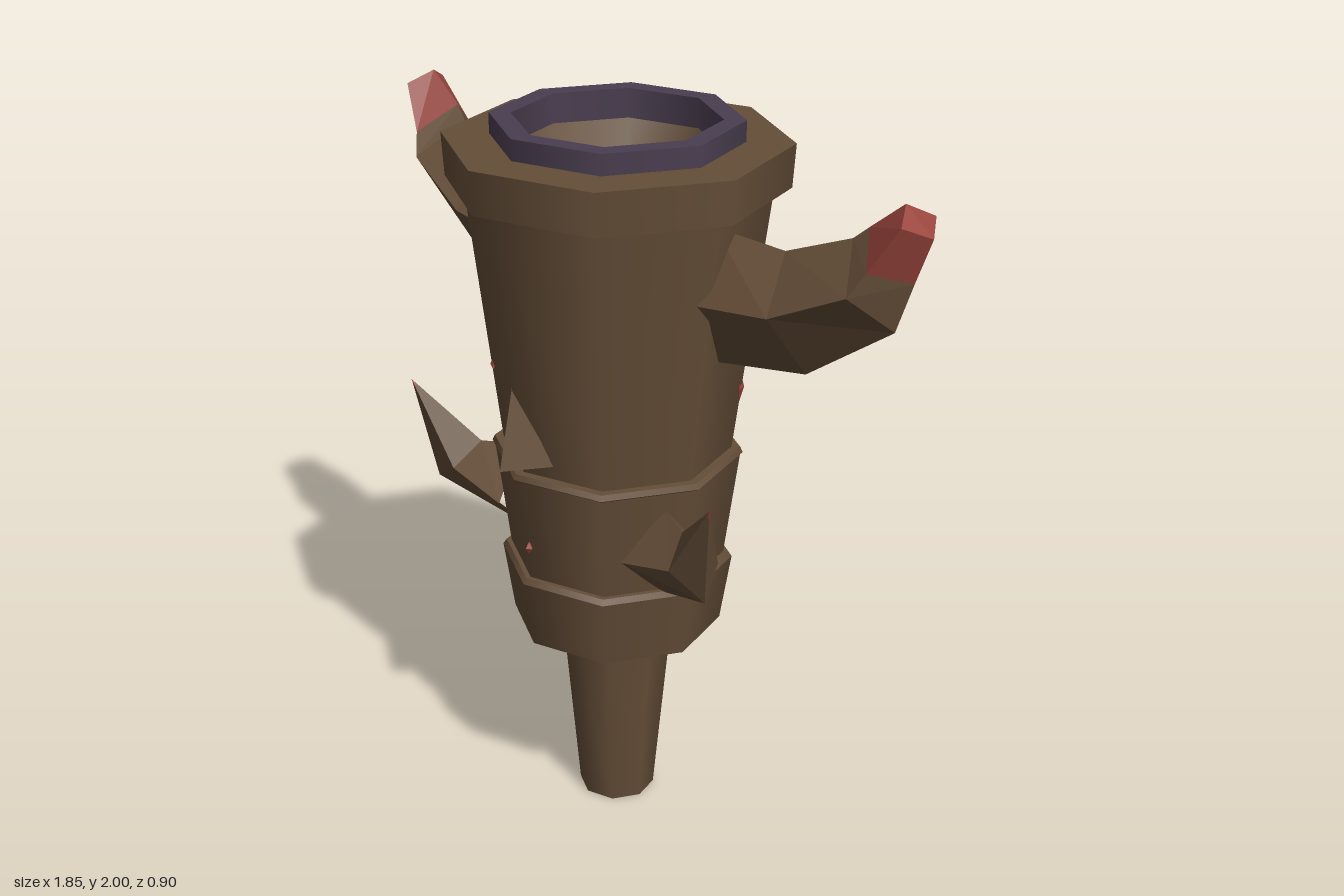
import * as THREE from 'three';
import { mergeGeometries } from 'three/addons/utils/BufferGeometryUtils.js';

const SIDES = 8;
const TURN = -0.11; // slight twist of the octagon about the axis

const material = (name, color) => {
  const m = new THREE.MeshStandardMaterial({ color });
  m.name = name;
  return m;
};

// Revolves a profile of [radius, y] points, with a sharp edge at each point
function turned(profile) {
  const bands = [];
  for (let i = 0; i < profile.length - 1; i++) {
    const pts = [profile[i], profile[i + 1]].map(([r, y]) => new THREE.Vector2(r, y));
    bands.push(new THREE.LatheGeometry(pts, SIDES, TURN));
  }
  return mergeGeometries(bands);
}

// Flat-faced skin over four-cornered sections (top, front, bottom, back)
function loft(sections, side = 1) {
  const rings = sections.map((s) => {
    const ring = s.map(([x, y, z]) => [x * side, y, z]);
    return side < 0 ? ring.reverse() : ring;
  });
  const pos = [];
  const quad = (a, b, c, d) => pos.push(...a, ...b, ...c, ...a, ...c, ...d);
  for (let k = 0; k < rings.length - 1; k++) {
    for (let i = 0; i < 4; i++) {
      const j = (i + 1) % 4;
      quad(rings[k][i], rings[k][j], rings[k + 1][j], rings[k + 1][i]);
    }
  }
  quad(...rings[rings.length - 1]);
  const g = new THREE.BufferGeometry();
  g.setAttribute('position', new THREE.Float32BufferAttribute(pos, 3));
  g.computeVertexNormals();
  return g;
}

// Diamond section from top, side and bottom corners in the x-y plane
const diamond = (top, mid, bottom, z, half) => [
  [...top, z], [...mid, z + half], [...bottom, z], [...mid, z - half],
];

export function createModel() {
  const wood = material('brown wood', 0x654e38);
  const red = material('dull red', 0x98443d);
  const purple = material('dark purple', 0x4a3e50);
  const model = new THREE.Group();
  const add = (name, geometry, mat, parent = model) => {
    const mesh = new THREE.Mesh(geometry, mat);
    mesh.name = name;
    parent.add(mesh);
    return mesh;
  };

  // Peg and stacked trunk
  add('peg', turned([[0, 0], [0.107, 0], [0.16, 0.6]]), wood);
  add('lowerCollar', turned([[0, 0.57], [0.29, 0.57], [0.32, 0.765], [0.31, 0.78], [0.28, 0.78]]), wood);
  add('middleCollar', turned([[0.295, 0.77], [0.335, 1.08], [0.342, 1.085], [0.335, 1.1], [0.29, 1.1]]), wood);
  add('trunk', turned([[0.31, 1.09], [0.403, 1.84]]), wood);
  add('topCollar', turned([[0.38, 1.83], [0.446, 1.83], [0.453, 1.945], [0.3, 1.945]]), wood);

  // Mouth ring, hollow and its small floor
  add('mouthRing', turned([[0.327, 1.93], [0.327, 2], [0.27, 2], [0.27, 1.92]]), purple);
  add('hollow', turned([[0.275, 1.925], [0.16, 1.68], [0.04, 1.6]]), wood);
  add('hollowFloor', turned([[0.042, 1.6], [0, 1.6]]), purple);

  // Upper branches with red ends
  const branch = [
    diamond([0.3, 1.77], [0.3, 1.6], [0.3, 1.41], -0.045, 0.12),
    diamond([0.52, 1.76], [0.57, 1.63], [0.6, 1.46], -0.06, 0.12),
    diamond([0.7, 1.83], [0.78, 1.73], [0.84, 1.63], -0.09, 0.115),
    diamond([0.74, 1.865], [0.81, 1.79], [0.88, 1.76], -0.1, 0.095),
    diamond([0.84, 1.945], [0.88, 1.91], [0.925, 1.88], -0.1, 0.065),
  ];

  // Lower thorns, narrowing to a red point
  const point = [0.57, 1.18, 0.245];
  const root = [[0.28, 1.03, 0.1], [0.24, 0.9, 0.22], [0.25, 0.765, 0.08], [0.32, 0.9, 0]];
  const bend = [[0.39, 1.02, 0.15], [0.42, 0.95, 0.23], [0.52, 0.885, 0.2], [0.48, 0.95, 0.11]];
  const toPoint = (t) => bend.map((p) => p.map((v, i) => v + (point[i] - v) * t));

  for (const [label, side] of [['left', 1], ['right', -1]]) {
    const arm = new THREE.Group();
    arm.name = label + 'Branch';
    add('branchWood', loft(branch.slice(0, 4), side), wood, arm);
    add('branchEnd', loft(branch.slice(3), side), red, arm);
    const thorn = new THREE.Group();
    thorn.name = label + 'Thorn';
    add('thornWood', loft([root, bend, toPoint(0.92)], side), wood, thorn);
    add('thornPoint', loft([toPoint(0.92), toPoint(1)], side), red, thorn);
    model.add(arm, thorn);
  }

  // Pointed nose
  const nose = new THREE.BufferGeometry();
  const top = [-0.04, 1.36, 0.335], l = [-0.12, 1.15, 0.29], r = [0.06, 1.14, 0.29];
  const tip = [-0.03, 1.13, 0.395], under = [-0.03, 1.115, 0.3];
  nose.setAttribute('position', new THREE.Float32BufferAttribute(
    [top, l, tip, top, tip, r, l, under, tip, under, r, tip].flat(), 3));
  nose.computeVertexNormals();
  add('nose', nose, wood);

  // Small red flecks in the bark: angle, radius, height, width, depth
  for (const [angle, radius, y, w, h] of [
    [-0.86, 0.328, 1.315, 0.035, 0.022],
    [2.27, 0.328, 1.275, 0.03, 0.045],
    [-0.06, 0.31, 0.88, 0.012, 0.018],
  ]) {
    const fleck = add('fleck', new THREE.OctahedronGeometry(1), red);
    fleck.scale.set(w, h, 0.012);
    fleck.position.set(Math.sin(angle) * radius, y, Math.cos(angle) * radius);
    fleck.rotation.y = angle;
  }
  return model;
}
